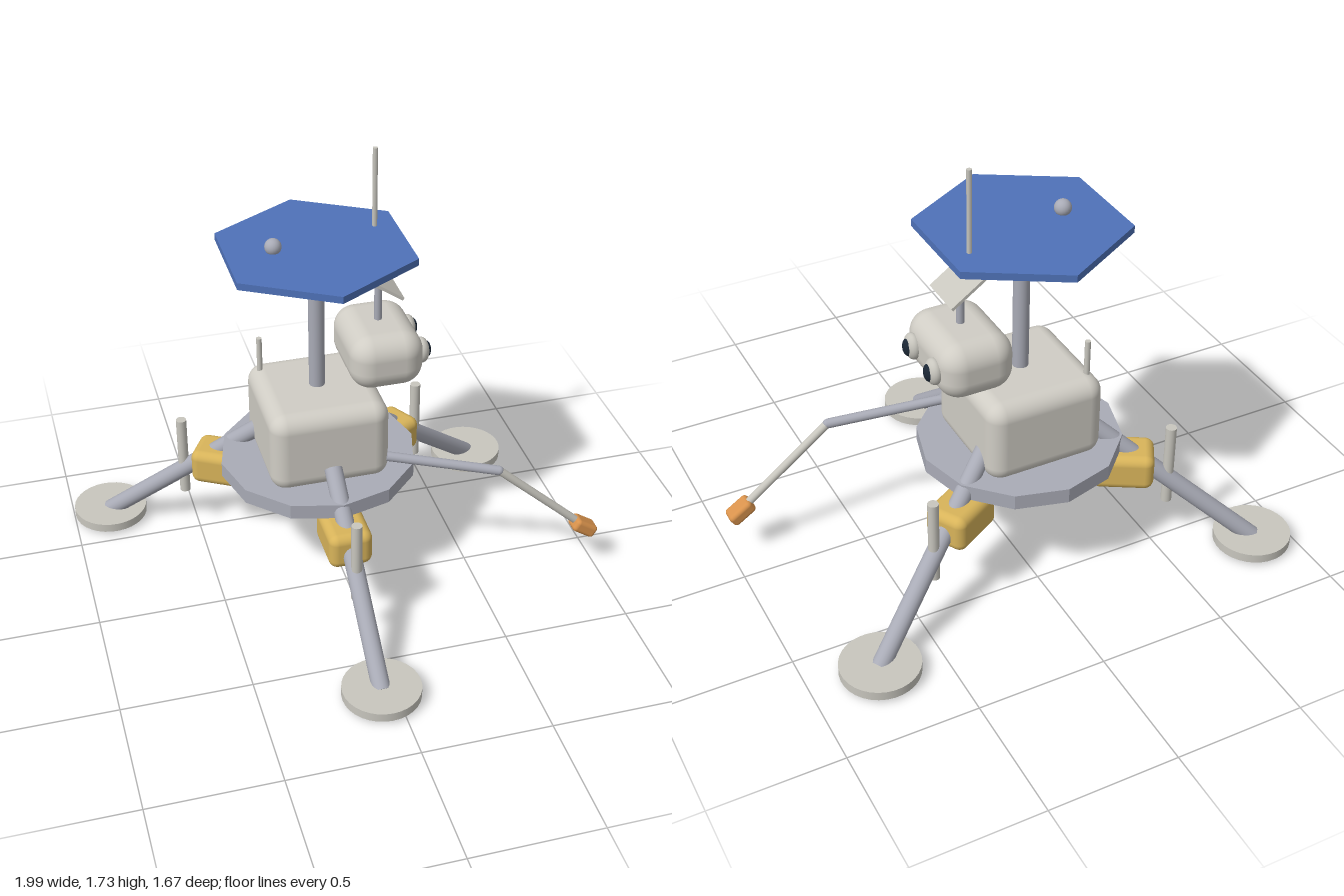
import * as THREE from 'three';
import { RoundedBoxGeometry } from 'three/addons/geometries/RoundedBoxGeometry.js';

const paint = (name, color) => {
  const m = new THREE.MeshStandardMaterial({ color });
  m.name = name;
  return m;
};

export function createModel() {
  const shell = paint('warm white shell', 0xd0cdc5);
  const pale = paint('pale grey', 0xc8c6be);
  const steel = paint('blue grey steel', 0xa9abb6);
  const gold = paint('gold foil', 0xd8b45a);
  const blue = paint('panel blue', 0x4f72b8);
  const orange = paint('orange grip', 0xd8924c);
  const dark = paint('dark glass', 0x1c2836);

  const model = new THREE.Group();
  model.name = 'lander';
  const CX = -0.055, CZ = -0.23; // central axis of the lander

  const add = (parent, name, geometry, material, x = 0, y = 0, z = 0) => {
    const mesh = new THREE.Mesh(geometry, material);
    mesh.name = name;
    mesh.position.set(x, y, z);
    parent.add(mesh);
    return mesh;
  };
  const box = (w, h, d, r) => new RoundedBoxGeometry(w, h, d, 5, r);
  // Cylinder between two points
  const rod = (parent, name, a, b, r, material, sides = 20) => {
    const from = new THREE.Vector3(...a), to = new THREE.Vector3(...b);
    const dir = to.clone().sub(from);
    const mid = from.add(to).multiplyScalar(0.5);
    const mesh = add(parent, name, new THREE.CylinderGeometry(r, r, dir.length(), sides), material, mid.x, mid.y, mid.z);
    mesh.quaternion.setFromUnitVectors(new THREE.Vector3(0, 1, 0), dir.normalize());
    return mesh;
  };
  // Faceted prism with crisp sides
  const prism = (r, h, sides) => new THREE.CylinderGeometry(r, r, h, sides).toNonIndexed();
  const flat = (g) => { g.computeVertexNormals(); return g; };

  // Deck and body
  add(model, 'deck', flat(prism(0.39, 0.06, 12)), steel, CX, 0.47, CZ);
  add(model, 'body', box(0.47, 0.335, 0.475, 0.065), shell, CX, 0.643, CZ);
  rod(model, 'rearAntenna', [-0.245, 0.75, -0.39], [-0.245, 0.95, -0.39], 0.011, pale, 12);

  // Mast and solar panel
  rod(model, 'mast', [CX, 0.78, CZ], [CX, 1.366, CZ], 0.031, steel);
  add(model, 'solarPanel', flat(prism(0.39, 0.028, 6)), blue, CX, 1.397, CZ);
  add(model, 'panelBeacon', new THREE.SphereGeometry(0.032, 20, 14), steel, -0.215, 1.43, CZ);
  rod(model, 'panelAntenna', [0.2, 1.4, -0.327], [0.2, 1.73, -0.327], 0.01, pale, 8);

  // Head, looking along +x
  const head = new THREE.Group();
  head.name = 'head';
  head.position.set(0.187, 0.953, -0.226);
  model.add(head);
  add(head, 'skull', box(0.288, 0.224, 0.378, 0.085), shell);
  for (const side of [-1, 1]) {
    add(head, 'eyeRim', new THREE.SphereGeometry(1, 24, 16), pale, 0.148, 0, side * 0.088).scale.set(0.031, 0.052, 0.045);
    add(head, 'pupil', new THREE.SphereGeometry(1, 20, 14), dark, 0.166, 0, side * 0.088).scale.set(0.02, 0.036, 0.028);
  }
  rod(head, 'stalk', [0, 0.08, 0], [0, 0.275, 0], 0.015, steel, 14);
  add(head, 'dishPlate', new THREE.BoxGeometry(0.172, 0.012, 0.176), pale, 0.003, 0.282, 0).rotation.z = -0.61;

  // Three legs, each built pointing along +z and turned about the axis
  for (let i = 0; i < 3; i++) {
    const leg = new THREE.Group();
    leg.name = 'leg' + (i + 1);
    leg.position.set(CX, 0, CZ);
    leg.rotation.y = (i * Math.PI * 2) / 3;
    model.add(leg);
    rod(leg, 'strut', [0, 0.567, 0.24], [0, 0.03, 0.915], 0.035, steel);
    add(leg, 'thruster', box(0.17, 0.147, 0.236, 0.035), gold, 0, 0.367, 0.397);
    rod(leg, 'sensorRod', [0, 0.195, 0.572], [0, 0.54, 0.572], 0.021, pale, 16);
    add(leg, 'footPad', new THREE.CylinderGeometry(0.15, 0.15, 0.036, 32), pale, 0, 0.035, 0.915);
  }

  // Jointed arm
  const shoulder = [0.165, 0.573, -0.008], elbow = [0.583, 0.513, 0.12], wrist = [0.925, 0.215, 0.152];
  rod(model, 'upperArm', shoulder, elbow, 0.019, steel, 16);
  add(model, 'elbow', new THREE.SphereGeometry(0.018, 14, 10), steel, ...elbow);
  rod(model, 'forearm', elbow, wrist, 0.016, pale, 16);
  const hand = add(model, 'hand', box(0.106, 0.054, 0.072, 0.016), orange, 0.944, 0.196, 0.155);
  hand.rotation.z = -0.58;

  return model;
}
